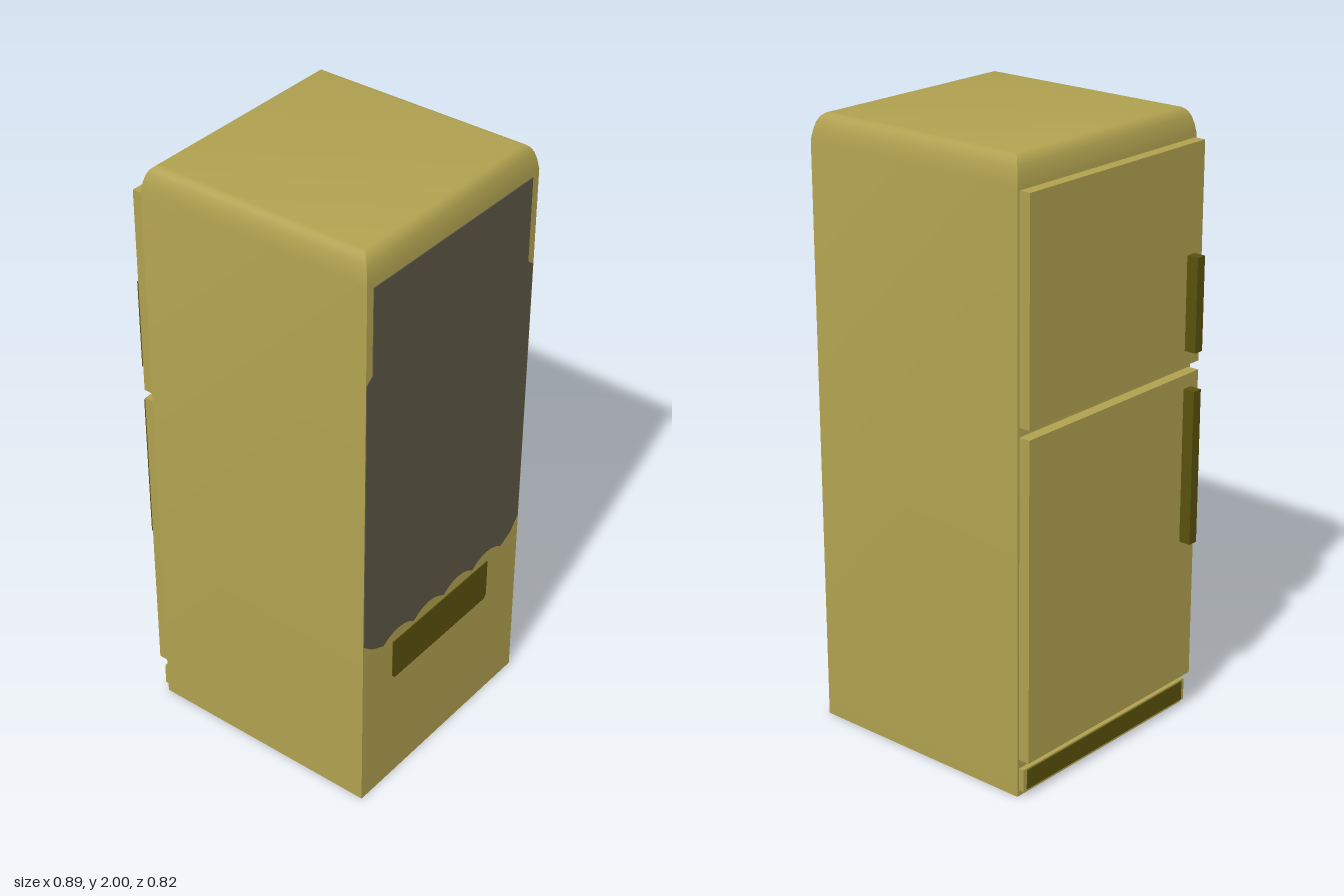
import * as THREE from 'three';
import { toCreasedNormals } from 'three/addons/utils/BufferGeometryUtils.js';

const mat = (name, color) => {
  const m = new THREE.MeshStandardMaterial({ color });
  m.name = name;
  return m;
};

export function createModel() {
  const group = new THREE.Group();
  const enamel = mat('mustardEnamel', 0xb0a14f);
  const trim = mat('darkOliveTrim', 0x5a510d);
  const grey = mat('coilGrey', 0x5f5947);

  const add = (name, geometry, material) => {
    const mesh = new THREE.Mesh(geometry, material);
    mesh.name = name;
    group.add(mesh);
  };
  // Box given by its min and max on each axis
  const box = (name, material, [x0, x1], [y0, y1], [z0, z1]) => {
    const g = new THREE.BoxGeometry(x1 - x0, y1 - y0, z1 - z0);
    g.translate((x0 + x1) / 2, (y0 + y1) / 2, (z0 + z1) / 2);
    add(name, g, material);
  };

  // Cabinet: square rings drawn inwards towards the top, mitred at the corners
  const X0 = -0.37, X1 = 0.444, Z = 0.408;
  const rings = [[0, 0], [1.915, 0], [1.945, 0.005], [1.97, 0.012], [1.987, 0.021], [1.997, 0.033], [2, 0.045]];
  const corners = ([y, i]) => [
    [X0 + i, y, Z - i], [X1 - i, y, Z - i], [X1 - i, y, -Z + i], [X0 + i, y, -Z + i],
  ];
  const pos = [];
  const quad = (a, b, c, d) => pos.push(...a, ...b, ...c, ...a, ...c, ...d);
  for (let r = 0; r < rings.length - 1; r++) {
    const lo = corners(rings[r]), hi = corners(rings[r + 1]);
    for (let k = 0; k < 4; k++) quad(lo[k], lo[(k + 1) % 4], hi[(k + 1) % 4], hi[k]);
  }
  quad(...corners(rings[rings.length - 1]));
  quad(...corners(rings[0]).reverse());
  const cabinet = new THREE.BufferGeometry();
  cabinet.setAttribute('position', new THREE.Float32BufferAttribute(pos, 3));
  add('cabinet', toCreasedNormals(cabinet, 0.5), enamel);

  // Doors with their handles
  box('upperDoor', enamel, [-0.408, X0], [1.205, 1.905], [-0.4, 0.4]);
  box('lowerDoor', enamel, [-0.408, X0], [0.125, 1.175], [-0.4, 0.4]);
  box('upperHandle', trim, [-0.448, -0.408], [1.255, 1.56], [0.328, 0.363]);
  box('lowerHandle', trim, [-0.448, -0.408], [0.615, 1.13], [0.328, 0.363]);

  // Kick plate below the doors
  box('kickPlate', enamel, [-0.388, X0], [0.02, 0.095], [-0.4, 0.4]);
  box('kickPlateFace', trim, [-0.391, -0.388], [0.025, 0.09], [-0.385, 0.385]);

  // Thin plate on the rear side; shape x runs towards -z
  const plate = (name, shape, material) => {
    const g = new THREE.ExtrudeGeometry(shape, { depth: 0.003, bevelEnabled: false, curveSegments: 6 });
    g.rotateY(Math.PI / 2).translate(X1, 0, 0);
    add(name, g, material);
  };

  // Condenser panel with a scalloped lower edge
  const panel = new THREE.Shape();
  panel.moveTo(-0.38, 1.9);
  panel.lineTo(-0.38, 1.615);
  panel.lineTo(-0.407, 1.595);
  panel.lineTo(-0.407, 0.635);
  panel.lineTo(-0.365, 0.6);
  panel.lineTo(-0.31, 0.575);
  for (let k = 0; k < 4; k++) {
    const u = -0.31 + k * 0.155;
    panel.bezierCurveTo(u + 0.045, 0.608, u + 0.11, 0.608, u + 0.155, 0.572);
  }
  panel.lineTo(0.365, 0.6);
  panel.lineTo(0.402, 0.645);
  panel.lineTo(0.402, 1.595);
  panel.lineTo(0.375, 1.615);
  panel.lineTo(0.375, 1.9);
  plate('condenserPanel', panel, grey);

  // Vent cover with softened corners
  const vent = new THREE.Shape();
  const a = -0.26, b = 0.24, lo = 0.405, hi = 0.555, c = 0.012;
  vent.moveTo(a + c, lo);
  vent.lineTo(b - c, lo);
  vent.lineTo(b, lo + c);
  vent.lineTo(b, hi);
  vent.lineTo(a, hi);
  vent.lineTo(a, lo + c);
  plate('ventCover', vent, trim);

  return group;
}
